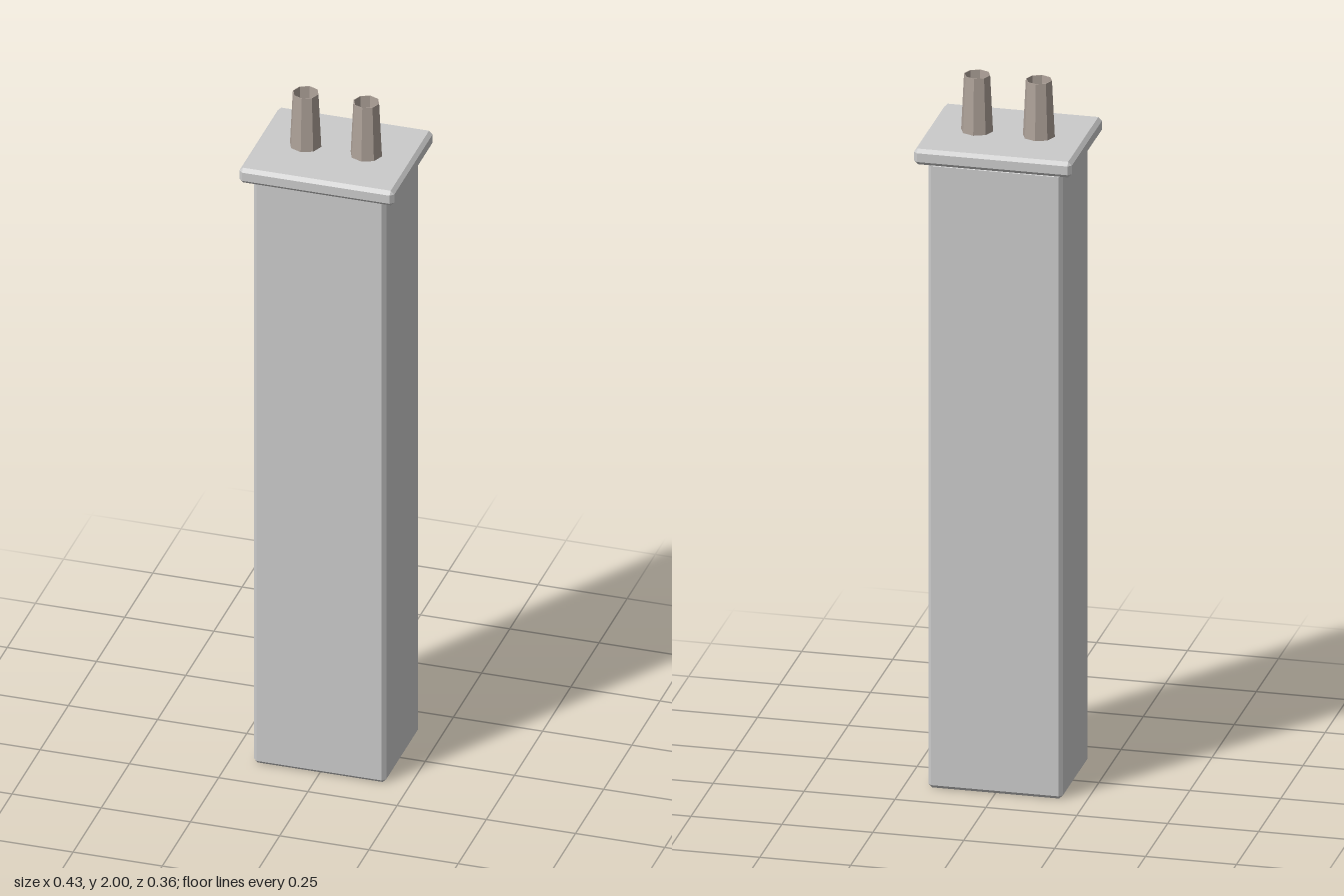
import * as THREE from 'three';
import { ConvexGeometry } from 'three/addons/geometries/ConvexGeometry.js';

const grey = new THREE.MeshStandardMaterial({ color: 0xcccccc, flatShading: true });
const metal = new THREE.MeshStandardMaterial({ color: 0xaea299, flatShading: true, side: THREE.DoubleSide });

// Box with every edge and corner chamfered by c, standing from y0 to y1
function chamferedBox(name, w, y0, y1, d, c) {
  const half = [w / 2, (y1 - y0) / 2, d / 2];
  const points = [];
  for (const sx of [-1, 1]) for (const sy of [-1, 1]) for (const sz of [-1, 1]) {
    for (let axis = 0; axis < 3; axis++) {
      const p = half.map((h, i) => (i === axis ? h : h - c));
      points.push(new THREE.Vector3(sx * p[0], sy * p[1], sz * p[2]));
    }
  }
  const mesh = new THREE.Mesh(new ConvexGeometry(points), grey);
  mesh.name = name;
  mesh.position.y = (y0 + y1) / 2;
  return mesh;
}

export function createModel() {
  const model = new THREE.Group();
  model.name = 'canister';

  // Tall body and overhanging lid
  model.add(chamferedBox('body', 0.37, 0, 1.795, 0.3, 0.01));
  model.add(chamferedBox('lid', 0.434, 1.795, 1.84, 0.36, 0.01));

  // Two hollow, tapered eight-sided posts: outer wall, rim, inner wall
  const profile = [[0.044, 1.838], [0.036, 2], [0.034, 2], [0.027, 1.842]]
    .map(([r, y]) => new THREE.Vector2(r, y));
  for (const side of [-1, 1]) {
    const post = new THREE.Mesh(new THREE.LatheGeometry(profile, 8), metal);
    post.name = side > 0 ? 'leftPost' : 'rightPost';
    post.position.x = side * 0.085;
    model.add(post);
  }
  return model;
}
